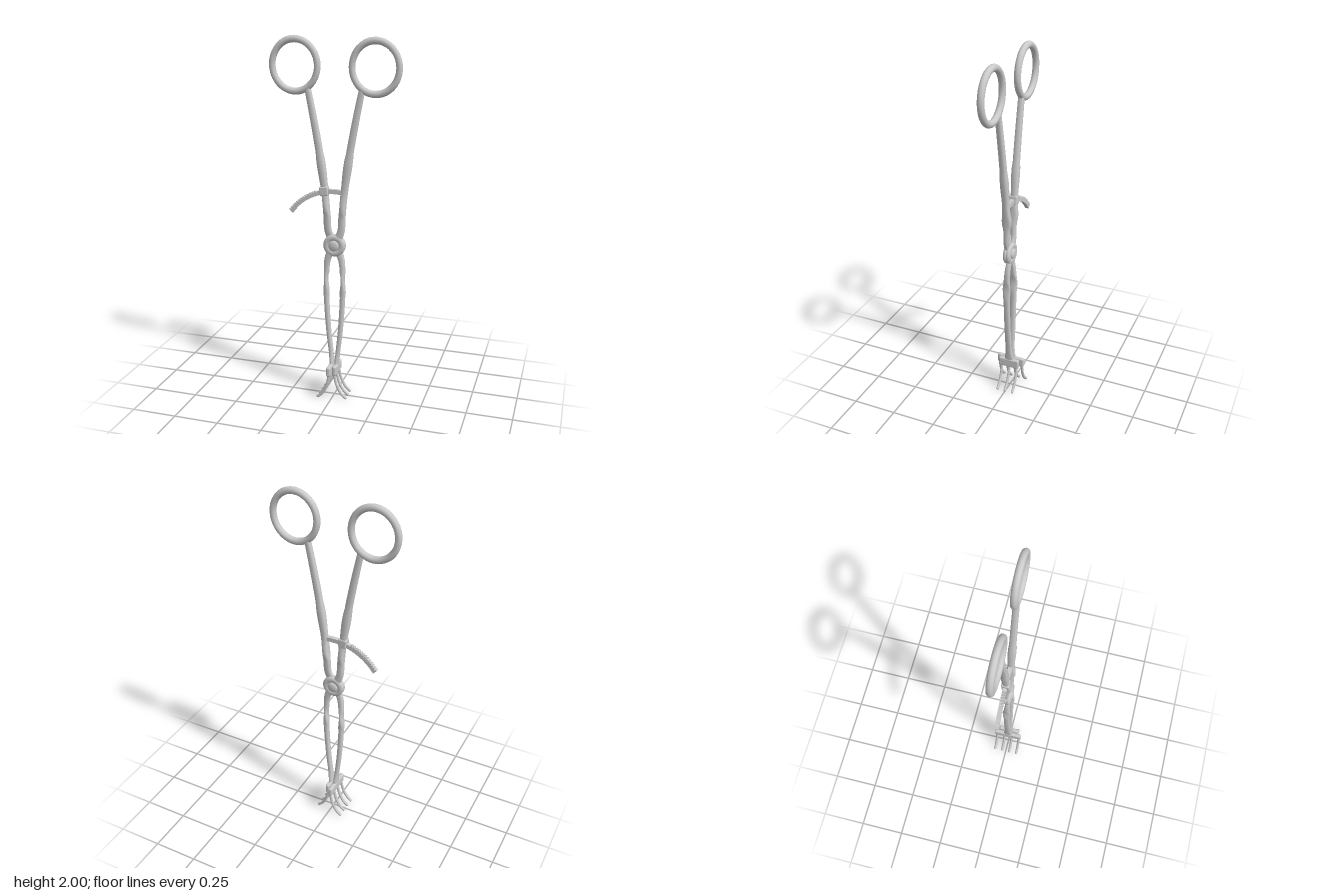
import * as THREE from 'three';
import { RoundedBoxGeometry } from 'three/addons/geometries/RoundedBoxGeometry.js';

const metal = new THREE.MeshStandardMaterial({ color: 0xcccccc, side: THREE.DoubleSide });
const PIVOT_Y = 0.895;

function add(parent, geometry, name, x = 0, y = 0, z = 0) {
  const mesh = new THREE.Mesh(geometry, metal);
  mesh.name = name;
  mesh.position.set(x, y, z);
  parent.add(mesh);
  return mesh;
}

// Rounded bar swept along stations [x, y, z, halfWidth, halfDepth] in the xy plane
function sweptBar(stations, steps = 72, sides = 16) {
  const path = new THREE.CatmullRomCurve3(stations.map(s => new THREE.Vector3(s[0], s[1], s[2])));
  const size = new THREE.CatmullRomCurve3(stations.map(s => new THREE.Vector3(s[3], s[4], 0)));
  const soften = v => Math.sign(v) * Math.abs(v) ** 0.75;
  const pos = [], index = [];
  for (let i = 0; i <= steps; i++) {
    const p = path.getPoint(i / steps), s = size.getPoint(i / steps);
    const t = path.getTangent(i / steps).setZ(0).normalize();
    for (let j = 0; j < sides; j++) {
      const a = (j / sides) * Math.PI * 2;
      const u = soften(Math.cos(a)) * s.x, v = soften(Math.sin(a)) * s.y;
      pos.push(p.x - t.y * u, p.y + t.x * u, p.z + v);
      if (i === steps) continue;
      const k = i * sides + j, n = i * sides + (j + 1) % sides;
      index.push(k, n, k + sides, n, n + sides, k + sides);
    }
  }
  const g = new THREE.BufferGeometry();
  g.setAttribute('position', new THREE.Float32BufferAttribute(pos, 3));
  g.setIndex(index);
  g.computeVertexNormals();
  return g;
}

// One lever: finger ring on +x above, crossing in front at the pivot to a toothed jaw on -x
function lever(name, tineCount, plateDepth) {
  const g = new THREE.Group();
  g.name = name;

  const ring = add(g, new THREE.TorusGeometry(0.129, 0.018, 12, 40), 'fingerRing', 0.215, 1.848, 0);
  ring.scale.set(0.952, 1.035, 1);

  add(g, sweptBar([
    [0.146, 1.735, 0, 0.016, 0.016],
    [0.115, 1.58, 0, 0.018, 0.017],
    [0.083, 1.4, 0, 0.019, 0.018],
    [0.055, 1.2, 0, 0.019, 0.018],
    [0.042, 1.06, 0, 0.019, 0.018],
    [0.036, 0.97, 0.004, 0.02, 0.014],
    [0, PIVOT_Y, 0.009, 0.026, 0.009],
    [-0.036, 0.82, 0.004, 0.018, 0.014],
    [-0.046, 0.73, 0, 0.014, 0.017],
    [-0.046, 0.6, 0, 0.014, 0.017],
    [-0.034, 0.4, 0, 0.013, 0.017],
    [-0.02, 0.27, 0, 0.012, 0.018],
    [-0.014, 0.2, 0, 0.011, 0.027],
    [-0.013, 0.16, 0, 0.01, 0.028],
  ]), 'arm');

  add(g, new RoundedBoxGeometry(0.024, 0.056, plateDepth, 3, 0.009), 'jawPlate', -0.014, 0.172, 0);

  // Outward curling tines with round tips
  const curve = new THREE.CatmullRomCurve3([[-0.012, 0.165], [-0.016, 0.125], [-0.029, 0.078], [-0.052, 0.036], [-0.077, 0.013]]
    .map(([x, y]) => new THREE.Vector3(x, y, 0)));
  const tube = new THREE.TubeGeometry(curve, 16, 0.008, 8);
  const tip = new THREE.SphereGeometry(0.008, 10, 8);
  for (let i = 0; i < tineCount; i++) {
    const z = (i - (tineCount - 1) / 2) * 0.046;
    add(g, tube, 'tine', 0, 0, z);
    add(g, tip, 'tineTip', -0.077, 0.013, z);
  }
  return g;
}

// Curved ratchet bar centred on the pivot, toothed along its outer edge
function ratchetGeometry() {
  const rad = Math.PI / 180, inner = 0.286, outer = 0.312;
  const at = (r, deg) => new THREE.Vector2(r * Math.cos(deg * rad), r * Math.sin(deg * rad));
  const points = [];
  for (let d = 82; d <= 108; d += 2) points.push(at(outer - 0.002, d));
  const teeth = 13, step = 36 / teeth;
  for (let i = 0; i < teeth; i++) {
    const d = 108.5 + i * step;
    points.push(at(outer - 0.009, d), at(outer + 0.002, d + step * 0.5), at(outer + 0.002, d + step * 0.8));
  }
  for (let d = 145; d >= 82; d -= 3) points.push(at(inner, d));
  const g = new THREE.ExtrudeGeometry(new THREE.Shape(points), { depth: 0.022, bevelEnabled: false });
  return g.translate(0, 0, -0.011);
}

export function createModel() {
  const model = new THREE.Group();
  model.name = 'ringHandledForceps';

  model.add(lever('leftHandleLever', 4, 0.164));
  const other = lever('rightHandleLever', 3, 0.122);
  other.rotation.y = Math.PI;
  model.add(other);

  // Pivot washers and domed rivet heads, front and back
  const v = pts => pts.map(([r, h]) => new THREE.Vector2(r, h));
  const washer = new THREE.LatheGeometry(v([[0.058, 0], [0.061, 0.006], [0.06, 0.013], [0.054, 0.019], [0.044, 0.021], [0.034, 0.019], [0.028, 0.015]]), 36);
  const rivet = new THREE.LatheGeometry(v([[0.029, 0.01], [0.029, 0.02], [0.025, 0.025], [0.014, 0.028], [0, 0.029]]), 28);
  for (const side of [1, -1]) {
    const cap = new THREE.Group();
    cap.name = side > 0 ? 'frontPivot' : 'backPivot';
    cap.position.y = PIVOT_Y;
    cap.rotation.x = side * Math.PI / 2;
    add(cap, washer, 'washer');
    add(cap, rivet, 'rivetHead');
    model.add(cap);
  }

  // Ratchet bar and the collar it slides through
  add(model, ratchetGeometry(), 'ratchetBar', 0, PIVOT_Y, 0);
  const collar = add(model, new RoundedBoxGeometry(0.046, 0.05, 0.042, 2, 0.006), 'ratchetCollar', -0.056, 1.193, 0);
  collar.rotation.z = 0.11;

  return model;
}
